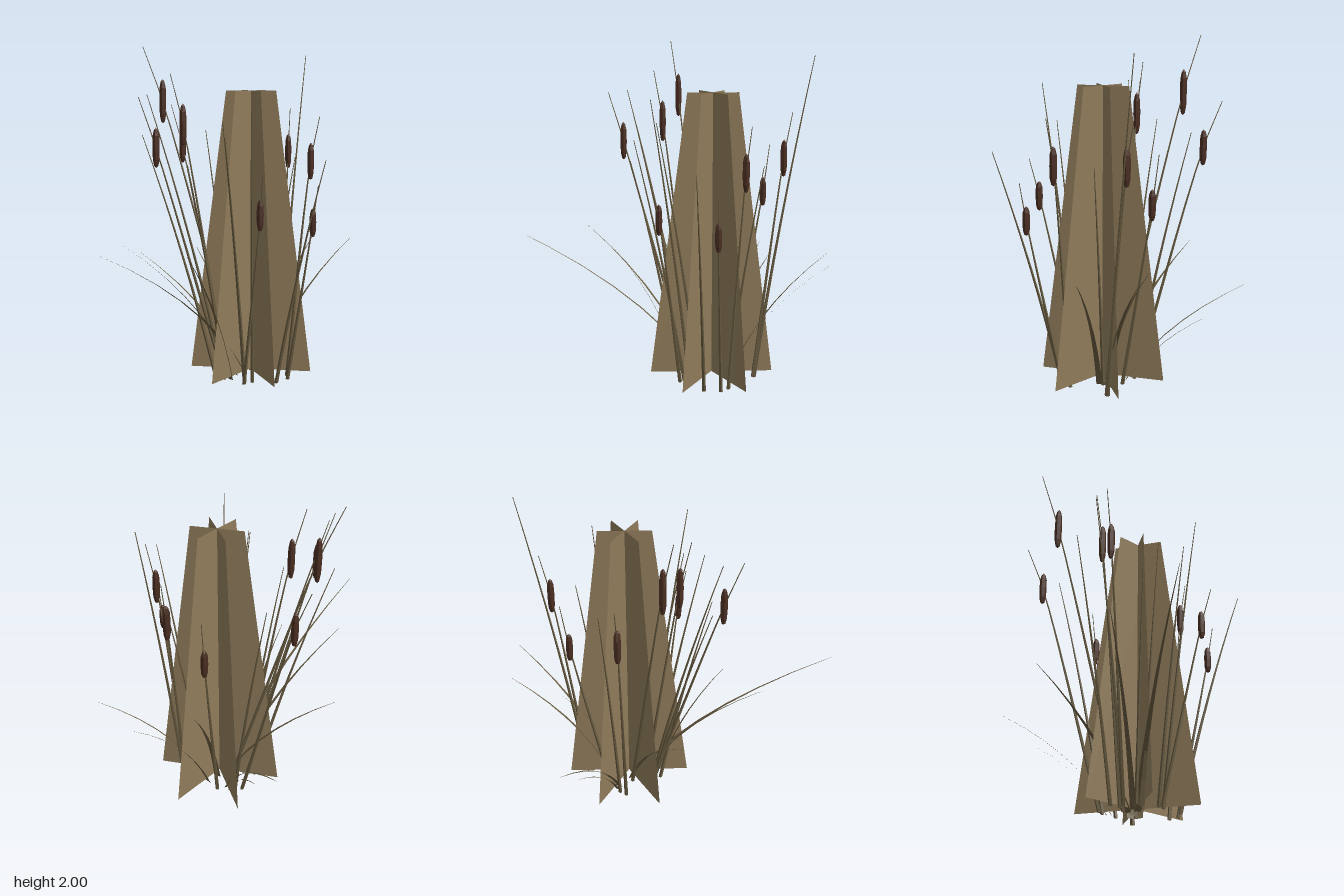
import * as THREE from 'three';

const mat = (color) => new THREE.MeshStandardMaterial({ color, flatShading: true, side: THREE.DoubleSide });
const V = (p) => new THREE.Vector3(...p);

// Thin stem: a tube whose rings shrink toward the tip
function stemGeometry(curve, r0, r1, segments = 8, sides = 5) {
  const geo = new THREE.TubeGeometry(curve, segments, r0, sides);
  const pos = geo.attributes.position;
  const v = new THREE.Vector3();
  for (let i = 0; i < pos.count; i++) {
    const t = Math.floor(i / (sides + 1)) / segments;
    const c = curve.getPointAt(t);
    v.fromBufferAttribute(pos, i).sub(c).multiplyScalar(1 + (r1 / r0 - 1) * t).add(c);
    pos.setXYZ(i, v.x, Math.max(0, v.y), v.z);
  }
  geo.computeVertexNormals();
  return geo;
}

// Arc from base to tip: rises first, then leans outward
function arc(base, tip, across, up) {
  const ctrl = [
    base[0] + (tip[0] - base[0]) * across,
    tip[1] * up,
    base[1] + (tip[2] - base[1]) * across,
  ];
  return new THREE.QuadraticBezierCurve3(V([base[0], 0, base[1]]), V(ctrl), V(tip));
}

// Flat leaf: a ribbon that narrows to a point
function leafGeometry(curve, width, segments = 7) {
  const a = curve.getPoint(0), b = curve.getPoint(1);
  const side = new THREE.Vector3(b.z - a.z, 0, a.x - b.x).normalize();
  const pos = [], index = [];
  for (let i = 0; i <= segments; i++) {
    const t = i / segments, c = curve.getPoint(t);
    const w = (width / 2) * (1 - t) + 0.001;
    for (const s of [-w, w]) pos.push(c.x + side.x * s, c.y, c.z + side.z * s);
    if (i < segments) {
      const k = i * 2;
      index.push(k, k + 1, k + 2, k + 1, k + 3, k + 2);
    }
  }
  const geo = new THREE.BufferGeometry();
  geo.setAttribute('position', new THREE.Float32BufferAttribute(pos, 3));
  geo.setIndex(index);
  geo.computeVertexNormals();
  return geo;
}

// Seed head: hexagonal spindle with tapered ends
function headGeometry(h) {
  const profile = [[0, -0.5], [0.012, -0.46], [0.02, -0.3], [0.022, 0], [0.02, 0.3], [0.012, 0.44], [0, 0.5]];
  return new THREE.LatheGeometry(profile.map(([r, y]) => new THREE.Vector2(r, y * h)), 6);
}

// Seed-bearing stalks: base (x, z), head centre, head length, tip
const CATTAILS = [
  [[-0.12, -0.28], [-0.435, 1.375, -0.49], 0.21, [-0.52, 1.64, -0.55]],
  [[0.03, -0.31], [0.04, 1.115, -0.535], 0.18, [0.04, 1.4, -0.58]],
  [[0.21, -0.36], [0.24, 1.35, -0.535], 0.22, [0.245, 1.62, -0.59]],
  [[-0.03, -0.18], [-0.51, 1.67, -0.265], 0.27, [-0.635, 2, -0.285]],
  [[0.28, -0.13], [0.41, 1.325, -0.145], 0.22, [0.46, 1.59, -0.145]],
  [[0.29, -0.07], [0.44, 0.99, 0.055], 0.17, [0.47, 1.21, 0.075]],
  [[-0.1, -0.13], [-0.34, 1.54, -0.05], 0.25, [-0.41, 1.84, -0.03]],
  [[-0.11, -0.09], [-0.455, 1.42, 0.16], 0.23, [-0.54, 1.71, 0.215]],
  [[0.04, 0.06], [0.16, 1.06, 0.27], 0.18, [0.18, 1.28, 0.335]],
];

// Plain stalks: base (x, z), tip
const STALKS = [
  [[-0.08, -0.3], [-0.29, 1.48, -0.52]],
  [[0.21, -0.37], [0.335, 1.95, -0.67]],
  [[-0.17, -0.13], [-0.575, 1.48, 0]],
  [[-0.11, -0.09], [-0.52, 1.72, 0.095]],
  [[-0.09, -0.01], [-0.26, 1.33, 0.22]],
  [[0.02, -0.08], [-0.07, 1.57, 0.15]],
  [[0.04, 0.03], [-0.03, 1.49, 0.32]],
  [[0.085, 0.02], [0.11, 1.73, 0.29]],
  [[0.23, 0.01], [0.52, 1.37, 0.25]],
  [[0.12, -0.24], [0.3, 1.33, -0.35]],
];

// Arching leaves: base (x, z), tip, width at base
const LEAVES = [
  [[0.055, -0.2], [0.095, 0.75, -0.57], 0.04],
  [[0.1, -0.26], [0.39, 0.77, -0.76], 0.04],
  [[0.13, -0.22], [0.65, 0.8, -0.59], 0.035],
  [[-0.03, -0.28], [-0.42, 0.65, -0.855], 0.045],
  [[-0.05, -0.3], [-0.27, 0.43, -0.67], 0.03],
  [[0, -0.17], [-0.655, 0.73, -0.22], 0.045],
  [[-0.03, -0.1], [-0.61, 0.88, 0.34], 0.035],
  [[0.02, -0.12], [-0.61, 0.93, 0.85], 0.035],
  [[-0.05, -0.01], [-0.24, 0.83, 0.36], 0.03],
];

export function createModel() {
  const model = new THREE.Group();
  model.name = 'cattailClump';
  const stemMat = mat(0x675a3f), headMat = mat(0x4a2e22), cardMat = mat(0x8f7b5a);
  const add = (name, geo, material) => {
    const mesh = new THREE.Mesh(geo, material);
    mesh.name = name;
    model.add(mesh);
    return mesh;
  };

  // Three crossed tapering panels through the middle of the clump
  const panel = new THREE.PlaneGeometry(1, 1.715);
  const p = panel.attributes.position;
  for (let i = 0; i < p.count; i++) p.setX(i, p.getX(i) * (p.getY(i) > 0 ? 0.3 : 0.745));
  for (let i = 0; i < 3; i++) {
    const mesh = add('crossPanel', panel, cardMat);
    mesh.position.set(0.05, 0.8825, -0.16);
    mesh.rotation.y = (i * Math.PI) / 3;
  }

  // Stalks with seed heads
  for (const [base, head, length, tip] of CATTAILS) {
    const curve = new THREE.CatmullRomCurve3([V([base[0], 0, base[1]]), V(head), V(tip)]);
    add('cattailStem', stemGeometry(curve, 0.012, 0.002), stemMat);
    const spindle = add('seedHead', headGeometry(length), headMat);
    spindle.position.set(...head);
  }

  // Plain stalks
  for (const [base, tip] of STALKS)
    add('stalk', stemGeometry(arc(base, tip, 0.4, 0.5), 0.012, 0.002), stemMat);

  // Drooping leaves
  for (const [base, tip, width] of LEAVES)
    add('leaf', leafGeometry(arc(base, tip, 0.3, 0.58), width), stemMat);

  return model;
}
